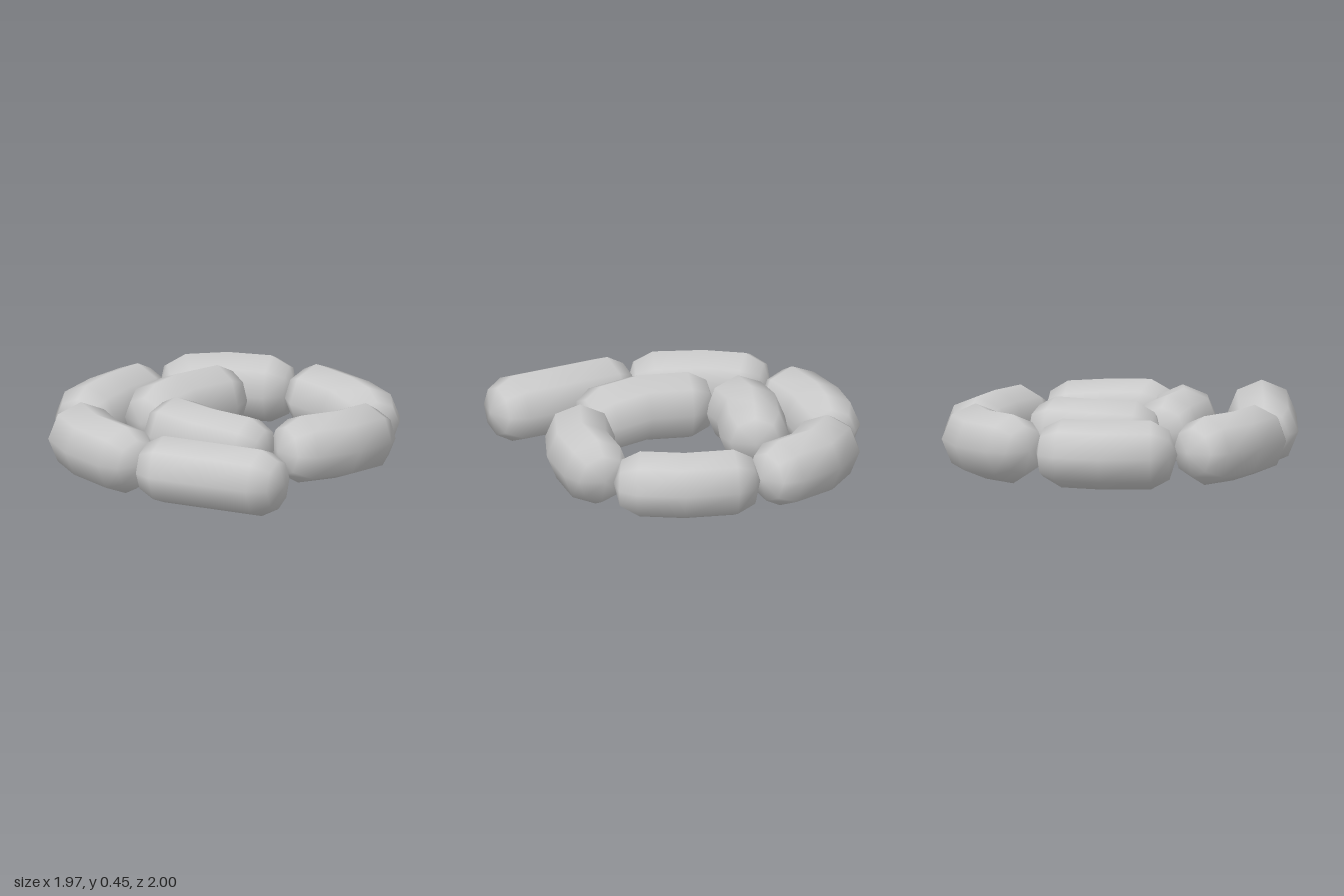
import * as THREE from 'three';
import { mergeVertices } from 'three/addons/utils/BufferGeometryUtils.js';

const R = 0.196, CAP = 0.15, SIDES = 8;
const UP = new THREE.Vector3(0, 1, 0);

// Lathe profile: y from -1 to 1 runs along the body, beyond that is cap length
const PROFILE = [
  [0, -1 - CAP], [0.72 * R, -1 - 0.7 * CAP], [R, -1], [R, 0], [R, 1],
  [0.72 * R, 1 + 0.7 * CAP], [0, 1 + CAP],
].map(([r, y]) => new THREE.Vector2(r, y));

// Round-ended link bent along start, middle and end
function bentLink(start, middle, end) {
  const [a, m, b] = [start, middle, end].map((p) => new THREE.Vector3(...p));
  const dirA = m.clone().sub(a).normalize();
  const dirB = b.clone().sub(m).normalize();
  const dirM = dirA.clone().add(dirB).normalize();

  let geometry = new THREE.LatheGeometry(PROFILE, SIDES);
  const pos = geometry.attributes.position;
  const v = new THREE.Vector3();
  for (let i = 0; i < pos.count; i++) {
    v.fromBufferAttribute(pos, i);
    const t = v.y;
    const dir = Math.abs(t) < 0.01 ? dirM : t < 0 ? dirA : dirB;
    const centre = m.clone().lerp(t < 0 ? a : b, Math.min(Math.abs(t), 1));
    const overshoot = Math.sign(t) * Math.max(Math.abs(t) - 1, 0);
    const side = dir.clone().cross(UP).normalize();
    const up = side.clone().cross(dir);
    centre.addScaledVector(dir, overshoot).addScaledVector(side, v.x).addScaledVector(up, v.z);
    pos.setXYZ(i, centre.x, centre.y, centre.z);
  }
  // Weld the seam and poles so the shading is smooth all round
  geometry.deleteAttribute('uv');
  geometry.deleteAttribute('normal');
  geometry = mergeVertices(geometry, 1e-4);
  geometry.computeVertexNormals();
  return geometry;
}

// Links of the coil from the inner end outwards: start, middle, end
const LINKS = {
  innerLeftLink: [[-0.325, 0.265, -0.28], [-0.38, 0.265, -0.01], [-0.36, 0.258, 0.19]],
  innerFrontLink: [[-0.1, 0.262, 0.31], [0.17, 0.262, 0.333], [0.41, 0.245, 0.265]],
  rightLink: [[0.605, 0.24, 0.04], [0.665, 0.225, -0.2], [0.645, 0.207, -0.45]],
  backLink: [[0.455, 0.203, -0.69], [0.22, 0.202, -0.78], [-0.06, 0.205, -0.81]],
  backLeftLink: [[-0.345, 0.21, -0.745], [-0.565, 0.21, -0.625], [-0.71, 0.212, -0.43]],
  leftLink: [[-0.79, 0.212, -0.125], [-0.79, 0.208, 0.11], [-0.725, 0.21, 0.375]],
  frontLeftLink: [[-0.525, 0.216, 0.635], [-0.31, 0.215, 0.745], [-0.03, 0.215, 0.798]],
  frontRightLink: [[0.245, 0.216, 0.778], [0.54, 0.22, 0.695], [0.84, 0.224, 0.612]],
};

export function createModel() {
  const model = new THREE.Group();
  model.name = 'coiledLinks';
  const material = new THREE.MeshStandardMaterial({ color: 0xcccccc });
  for (const [name, path] of Object.entries(LINKS)) {
    const mesh = new THREE.Mesh(bentLink(...path), material);
    mesh.name = name;
    model.add(mesh);
  }
  return model;
}
